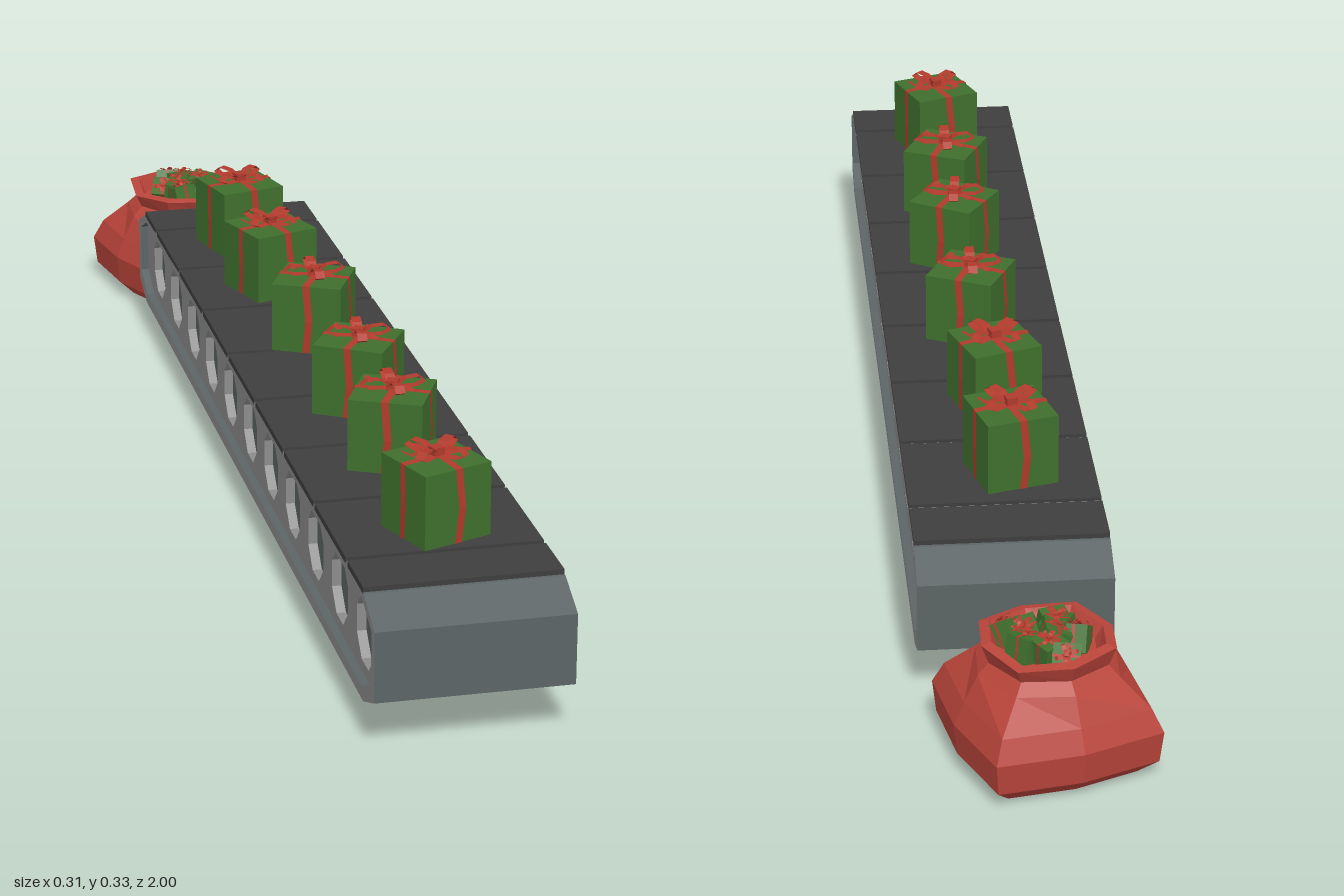
import * as THREE from 'three';

const mat = (color, extra = {}) => new THREE.MeshStandardMaterial({ color, flatShading: true, ...extra });
const frameGrey = mat(0x8c8c8c), steel = mat(0x5c6465), slatGrey = mat(0x3e3e3e);
const green = mat(0x3f6f2d), red = mat(0xb03a2c, { side: THREE.DoubleSide });
const sackRed = mat(0xb8443a, { side: THREE.DoubleSide });

const CX = 0.015, CZ = 0.1525, CY = 0.135, WIDTH = 0.27;

function add(parent, name, geometry, material) {
  const mesh = new THREE.Mesh(geometry, material);
  mesh.name = name;
  parent.add(mesh);
  return mesh;
}

// Chamfered side outline of the conveyor, shrunk by an inset
function outline(inset, top = 0.08) {
  const l = 0.8475 - inset, t = top - inset, b = -0.08 + inset, c = 0.06 - inset * 0.4;
  return [[-l, b + 0.025], [-l + c, b], [l - c, b], [l, b + 0.025],
    [l, 0.045 - inset * 0.4], [l - c, t], [-l + c, t], [-l, 0.045 - inset * 0.4]]
    .map(([x, y]) => new THREE.Vector2(x, y));
}

// Extrude a side outline across the conveyor's width
function extrudeAcross(shape, width) {
  return new THREE.ExtrudeGeometry(shape, { depth: width, bevelEnabled: false })
    .translate(0, 0, -width / 2).rotateY(Math.PI / 2);
}

// Flat strip of a given width following points [along, height, sideways shift]
function strip(points, width) {
  const g = new THREE.PlaneGeometry(1, 1, 1, points.length - 1);
  const p = g.attributes.position;
  for (let i = 0; i < p.count; i++) {
    const [x, y, shift = 0, w = 1] = points[i >> 1];
    p.setXYZ(i, x, y, shift + (i % 2 ? 0.5 : -0.5) * width * w);
  }
  g.computeVertexNormals();
  return g;
}

// Wrapped box with crossing ribbons and a looped bow
function createGift() {
  const gift = new THREE.Group();
  gift.name = 'gift';
  const s = 0.105, r = s / 2 + 0.0012;
  add(gift, 'giftBox', new THREE.BoxGeometry(s, s, s).translate(0, s / 2, 0), green);
  const band = [[-r, 0], [-r - 0.002, 0.05, 0.005], [-r, s + 0.001], [0, s + 0.003, 0.003],
    [r, s + 0.001], [r + 0.002, 0.05, -0.005], [r, 0]];
  for (let i = 0; i < 2; i++) {
    add(gift, 'ribbon', strip(band, 0.011), red).rotation.y = i * Math.PI / 2;
  }
  const loop = [[0, s + 0.004], [0.018, s + 0.017], [0.036, s + 0.019], [0.046, s + 0.011],
    [0.034, s + 0.005], [0, s + 0.004]];
  const tail = [[0, s + 0.005], [0.02, s + 0.011, 0.002], [0.034, s + 0.005, -0.002], [0.046, s + 0.01, 0.003]];
  for (let i = 0; i < 4; i++) {
    add(gift, 'bowLoop', strip(loop, 0.014), red).rotation.y = 0.45 + i * Math.PI / 2;
    if (i % 2) add(gift, 'bowTail', strip(tail, 0.01), red).rotation.y = 1.2 + i * Math.PI / 2;
  }
  add(gift, 'bowKnot', new THREE.BoxGeometry(0.016, 0.014, 0.016).translate(0, s + 0.008, 0), red);
  return gift;
}

function createConveyor() {
  const conveyor = new THREE.Group();
  conveyor.name = 'conveyor';
  conveyor.position.set(CX, CY, CZ);

  // Outer band with pale raised rims
  const band = new THREE.Shape(outline(0, 0.073));
  band.holes.push(new THREE.Path(outline(0.017).reverse()));
  add(conveyor, 'beltBand', extrudeAcross(band, WIDTH), [frameGrey, steel]);

  // Recessed side panels with octagonal openings, hubs set inside
  const hubs = Array.from({ length: 11 }, (_, i) => -0.7475 + i * 0.147);
  const panel = new THREE.Shape(outline(0.016));
  for (const h of hubs) {
    const pts = [];
    for (let k = 0; k < 8; k++) {
      const a = -(k + 0.5) * Math.PI / 4;
      pts.push(new THREE.Vector2(h + 0.051 * Math.cos(a), 0.051 * Math.sin(a)));
    }
    panel.holes.push(new THREE.Path(pts));
  }
  add(conveyor, 'sidePanels', extrudeAcross(panel, WIDTH - 0.024), frameGrey);
  for (const h of hubs) {
    const hub = add(conveyor, 'roller', new THREE.CylinderGeometry(0.0505, 0.0505, WIDTH - 0.05, 8)
      .rotateY(Math.PI / 8).rotateZ(Math.PI / 2), steel);
    hub.position.z = -h;
  }

  // Belt slats with narrow gaps showing the paler bed
  const cuts = [-0.635, ...Array.from({ length: 8 }, (_, i) => -0.53 + i * 0.196), 0.94];
  add(conveyor, 'beltBed', new THREE.BoxGeometry(WIDTH - 0.002, 0.004, 1.56), frameGrey).position.y = 0.073;
  for (let i = 0; i < cuts.length - 1; i++) {
    const len = cuts[i + 1] - cuts[i] - 0.01;
    const slat = add(conveyor, 'slat', new THREE.BoxGeometry(WIDTH, 0.009, len), slatGrey);
    slat.position.set(0, 0.0755, (cuts[i] + cuts[i + 1]) / 2 - CZ);
  }
  return conveyor;
}

function createSack() {
  const sack = new THREE.Group();
  sack.name = 'sack';
  sack.position.set(-0.012, 0, -0.848);

  // Lathe pulled square at the belly, round at the neck, with a flared rim
  const profile = [[0, 0.008], [0.13, 0.006], [0.162, 0.03], [0.168, 0.075], [0.15, 0.107], [0.104, 0.145],
    [0.088, 0.16], [0.099, 0.184], [0.084, 0.187], [0.072, 0.165], [0, 0.16]]
    .map(([x, y]) => new THREE.Vector2(x, y));
  const g = new THREE.LatheGeometry(profile, 8);
  const p = g.attributes.position;
  for (let i = 0; i < p.count; i++) {
    const side = Math.floor(i / profile.length) % 8, y = p.getY(i);
    const pinch = side % 2 ? 1 : (y < 0.12 ? 0.79 : 0.95);
    const wave = y > 0.17 ? (side % 3 - 1) * 0.004 : 0;
    p.setXYZ(i, p.getX(i) * pinch, y + wave, p.getZ(i) * pinch);
  }
  g.computeVertexNormals();
  add(sack, 'sackCloth', g, sackRed).rotation.y = 0.29;

  // Heap of small gifts in the mouth
  for (let i = 0; i < 9; i++) {
    const a = i * 2.4, r = i ? 0.022 + 0.0035 * i : 0;
    const gift = createGift();
    gift.scale.setScalar(0.36);
    gift.position.set(r * Math.cos(a), 0.163 - r * 0.12, r * Math.sin(a));
    gift.rotation.set(Math.sin(i * 1.7) * 0.4, i * 1.1, Math.cos(i * 2.3) * 0.4);
    sack.add(gift);
  }
  return sack;
}

export function createModel() {
  const model = new THREE.Group();
  model.name = 'giftConveyor';
  model.add(createConveyor(), createSack());

  // Gifts riding the belt: x, z, turn
  const gifts = [[0.018, 0.772, 0.35], [0.02, 0.52, -0.44], [0.022, 0.307, -0.55],
    [0.018, 0.033, -0.45], [0.004, -0.217, 0.33], [0, -0.438, 0.26]];
  for (const [x, z, turn] of gifts) {
    const gift = createGift();
    gift.position.set(x, 0.215, z);
    gift.rotation.y = turn;
    model.add(gift);
  }
  return model;
}
